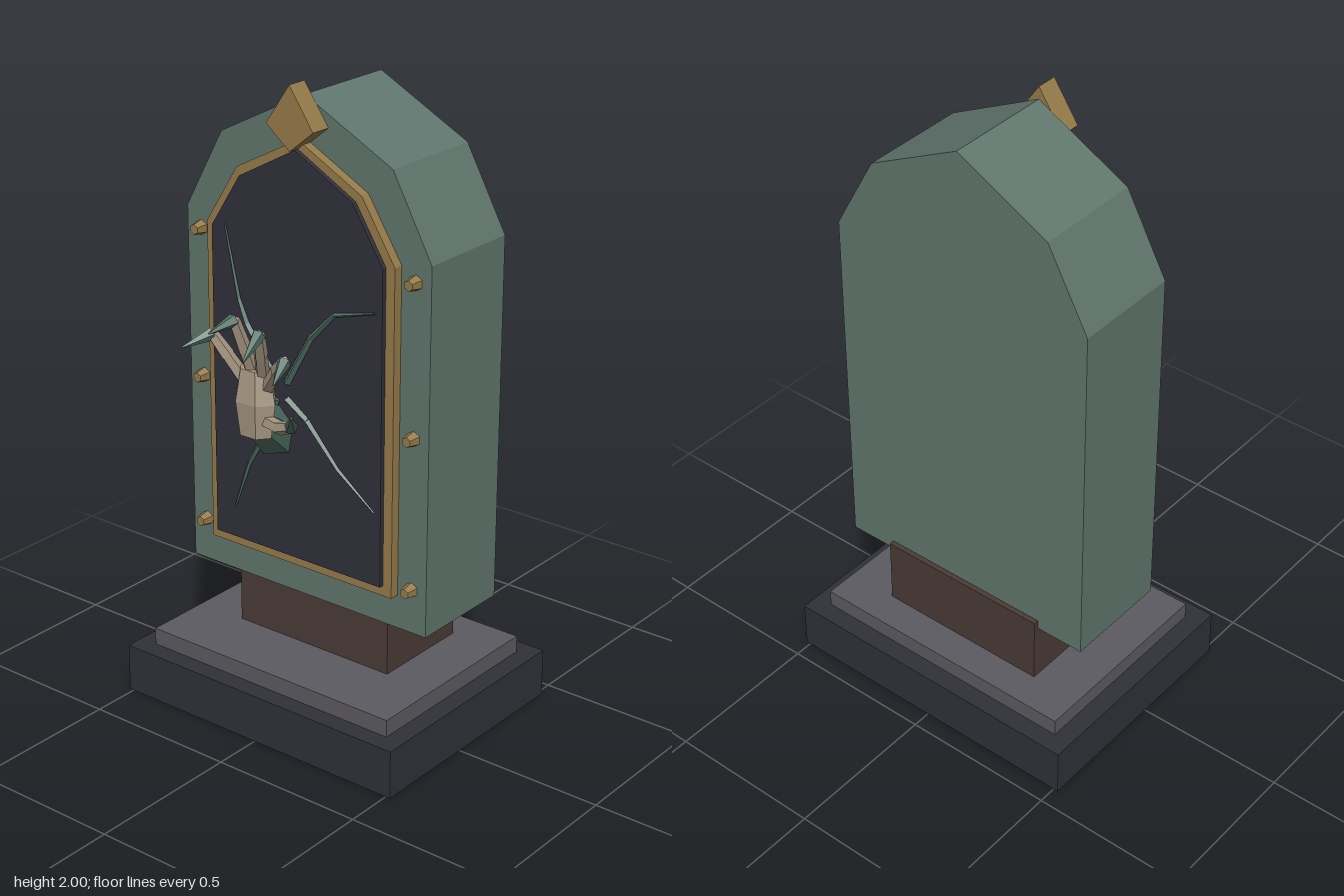
import * as THREE from 'three';

const mat = (name, color) => {
  const m = new THREE.MeshStandardMaterial({ color });
  m.name = name;
  return m;
};

export function createModel() {
  const root = new THREE.Group();
  root.name = 'mirrorWithHand';

  const sage = mat('sage green', 0x60766d);
  const dark = mat('dark slate', 0x30303a);
  const grey = mat('stone grey', 0x5c5a61);
  const brown = mat('dark brown', 0x4a3b36);
  const gold = mat('old gold', 0x967b4a);
  const bone = mat('bone', 0xa89984);
  const green = mat('deep green', 0x4f6f63);

  // Flat-faced mesh
  const add = (parent, name, geometry, material) => {
    const g = geometry.index ? geometry.toNonIndexed() : geometry;
    g.computeVertexNormals();
    const mesh = new THREE.Mesh(g, material);
    mesh.name = name;
    parent.add(mesh);
    return mesh;
  };

  // Box given by half width, y range and z range
  const block = (name, hw, y0, y1, z0, z1, material) =>
    add(root, name, new THREE.BoxGeometry(hw * 2, y1 - y0, z1 - z0)
      .translate(0, (y0 + y1) / 2, (z0 + z1) / 2), material);

  // Symmetric outline from its right-hand corners, bottom to top, extruded over a z range
  const slab = (name, half, z0, z1, material) => {
    const left = half.filter(p => p[0] > 0).reverse().map(([x, y]) => [-x, y]);
    const shape = new THREE.Shape([...half, ...left].map(p => new THREE.Vector2(...p)));
    const g = new THREE.ExtrudeGeometry(shape, { depth: z1 - z0, bevelEnabled: false });
    return add(root, name, g.translate(0, 0, z0), material);
  };

  // Tapered prism between two points
  const taper = (parent, name, a, b, ra, rb, sides, material) => {
    const p = new THREE.Vector3(...a), q = new THREE.Vector3(...b);
    const dir = q.clone().sub(p);
    const mesh = add(parent, name, new THREE.CylinderGeometry(rb, ra, dir.length(), sides), material);
    mesh.position.copy(p).add(q).multiplyScalar(0.5);
    mesh.quaternion.setFromUnitVectors(new THREE.Vector3(0, 1, 0), dir.normalize());
    return mesh;
  };

  // Stepped base and neck
  block('base', 0.515, 0, 0.155, -0.44, 0.345, dark);
  block('baseStep', 0.455, 0.155, 0.21, -0.38, 0.285, grey);
  block('neck', 0.288, 0.21, 0.43, -0.272, 0.065, brown);

  // Arched body, frame and dark panel
  slab('body', [[0.45, 0.4], [0.45, 1.55], [0.312, 1.8], [0, 1.96]], -0.255, 0.095, sage);
  slab('frame', [[0.346, 0.507], [0.346, 1.53], [0.228, 1.715], [0, 1.835]], 0.095, 0.126, gold);
  slab('panel', [[0.315, 0.54], [0.315, 1.525], [0.207, 1.695], [0, 1.808]], 0.1, 0.141, dark);

  // Crest ornament
  slab('crest', [[0, 1.808], [0.085, 1.877], [0, 2]], 0.095, 0.163, gold);

  // Studs down both sides
  for (const x of [-0.396, 0.396]) for (const y of [0.54, 1.02, 1.49]) {
    taper(root, 'stud', [x, y, 0.09], [x, y, 0.13], 0.025, 0.016, 6, gold);
  }

  // Cracks spreading from behind the hand
  const cracks = [
    [[-0.07, 1.1], [-0.18, 1.25], [-0.21, 1.32], [-0.26, 1.54]],
    [[-0.03, 1.1], [0.06, 1.26], [0.145, 1.35], [0.295, 1.39]],
    [[-0.03, 1.05], [0.045, 1.0], [0.16, 0.875], [0.295, 0.775]],
    [[-0.07, 1.04], [-0.13, 0.89], [-0.18, 0.8], [-0.235, 0.645]],
  ];
  const crackRadii = [0.012, 0.01, 0.007, 0.003];
  for (const pts of cracks) {
    for (let i = 0; i < 3; i++) {
      taper(root, 'crack', [...pts[i], 0.145], [...pts[i + 1], 0.145],
        crackRadii[i], crackRadii[i + 1], 4, green);
    }
  }

  // Reaching hand: forearm, palm, fingers
  const hand = new THREE.Group();
  hand.name = 'hand';
  root.add(hand);
  taper(hand, 'forearm', [-0.088, 0.925, 0.125], [-0.045, 1.025, 0.265], 0.078, 0.052, 6, green);

  const profile = [[0, 0.978], [0.058, 0.978], [0.074, 1.085], [0.054, 1.185], [0, 1.185]]
    .map(p => new THREE.Vector2(...p));
  const palm = add(hand, 'palm', new THREE.LatheGeometry(profile, 6, Math.PI / 6), bone);
  palm.scale.z = 0.72;
  palm.position.set(-0.042, 0, 0.272);

  // Each finger: base, middle joint, end joint, claw tip
  const fingers = [
    [[-0.08, 1.14, 0.275], [-0.118, 1.215, 0.305], [-0.153, 1.28, 0.33], [-0.197, 1.25, 0.41]],
    [[-0.05, 1.16, 0.27], [-0.048, 1.25, 0.31], [-0.052, 1.35, 0.35], [-0.07, 1.33, 0.437]],
    [[-0.015, 1.16, 0.27], [0.012, 1.245, 0.31], [0.036, 1.325, 0.346], [0.056, 1.275, 0.437]],
    [[0.01, 1.14, 0.275], [0.068, 1.21, 0.305], [0.122, 1.262, 0.338], [0.147, 1.222, 0.415]],
    [[0.0, 1.03, 0.275], [0.07, 1.035, 0.3], [0.132, 1.06, 0.322], [0.185, 1.122, 0.385]],
  ];
  fingers.forEach(([a, b, c, d], i) => {
    const finger = new THREE.Group();
    finger.name = i === 4 ? 'thumb' : 'finger';
    hand.add(finger);
    taper(finger, 'lowerBone', a, b, 0.022, 0.02, 5, bone);
    taper(finger, 'upperBone', b, c, 0.022, 0.018, 5, bone);
    taper(finger, 'claw', c, d, 0.021, 0.003, 5, green);
  });

  return root;
}
